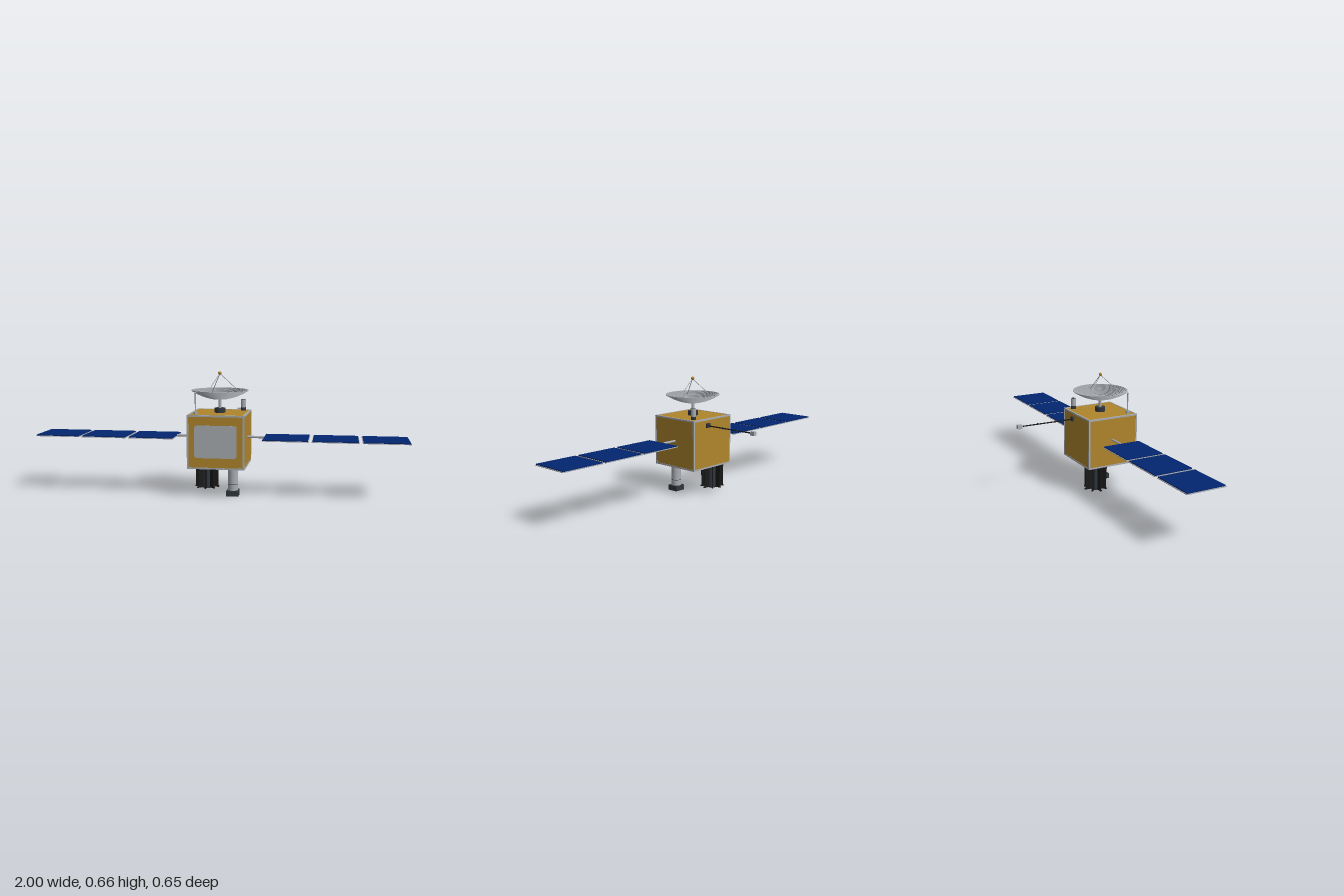
import * as THREE from 'three';

const mat = (name, color, side = THREE.FrontSide) => {
  const m = new THREE.MeshStandardMaterial({ color, side });
  m.name = name;
  return m;
};

export function createModel() {
  const gold = mat('goldFoil', 0xb0862c);
  const silver = mat('silver', 0xa9adb2, THREE.DoubleSide);
  const slate = mat('darkSlate', 0x31373f);
  const black = mat('black', 0x1a1a1b);
  const navy = mat('solarBlue', 0x022670);

  const model = new THREE.Group();
  model.name = 'satellite';
  const CZ = 0.171, BY = 0.2975; // body centre

  const add = (name, geo, material, x, y, z, parent = model) => {
    const m = new THREE.Mesh(geo, material);
    m.name = name;
    m.position.set(x, y, z);
    parent.add(m);
    return m;
  };
  const box = (name, w, h, d, material, x, y, z, parent) =>
    add(name, new THREE.BoxGeometry(w, h, d), material, x, y, z, parent);
  // upright cylinder between two heights
  const post = (name, r, y0, y1, material, x, z, parent, sides = 24) =>
    add(name, new THREE.CylinderGeometry(r, r, y1 - y0, sides), material, x, (y0 + y1) / 2, z, parent);
  const rod = (name, a, b, r, material, parent = model) => {
    const dir = b.clone().sub(a);
    const m = add(name, new THREE.CylinderGeometry(r, r, dir.length(), 10), material, 0, 0, 0, parent);
    m.position.copy(a).add(b).multiplyScalar(0.5);
    m.quaternion.setFromUnitVectors(new THREE.Vector3(0, 1, 0), dir.normalize());
    return m;
  };
  const V = (x, y, z) => new THREE.Vector3(x, y, z);

  // Foil-covered body with bars along its twelve edges
  const W = 0.304, H = 0.285, D = 0.306, T = 0.009;
  box('body', W - 0.003, H - 0.003, D - 0.003, gold, 0, BY, CZ);
  for (const a of [-1, 1]) for (const b of [-1, 1]) {
    const ex = (W - T) / 2, ey = (H - T) / 2, ez = (D - T) / 2;
    box('frameBarX', W, T, T, silver, 0, BY + a * ey, CZ + b * ez);
    box('frameBarY', T, H, T, silver, a * ex, BY, CZ + b * ez);
    box('frameBarZ', T, T, D, silver, a * ex, BY + b * ey, CZ);
  }

  // Rounded radiator plate on the front
  const s = new THREE.Shape(), pw = 0.112, ph = 0.086, r = 0.018;
  s.moveTo(-pw + r, -ph);
  s.lineTo(pw - r, -ph); s.quadraticCurveTo(pw, -ph, pw, -ph + r);
  s.lineTo(pw, ph - r); s.quadraticCurveTo(pw, ph, pw - r, ph);
  s.lineTo(-pw + r, ph); s.quadraticCurveTo(-pw, ph, -pw, ph - r);
  s.lineTo(-pw, -ph + r); s.quadraticCurveTo(-pw, -ph, -pw + r, -ph);
  add('radiatorPlate', new THREE.ExtrudeGeometry(s, { depth: 0.004, bevelEnabled: false }), silver, 0, 0.3, 0.32);

  // Round plate underneath, flush with the frame
  post('adapterPlate', 0.11, 0.155, 0.159, silver, 0, CZ, model, 40);

  // Solar wings, three panels on each side
  for (const side of [-1, 1]) {
    const wing = new THREE.Group();
    wing.name = side > 0 ? 'leftSolarWing' : 'rightSolarWing';
    model.add(wing);
    rod('wingArm', V(side * 0.148, 0.309, CZ - 0.003), V(side * 0.238, 0.309, CZ - 0.003), 0.0065, silver, wing);
    for (let i = 0; i < 3; i++) {
      const x = side * (0.358 + i * 0.2598);
      box('panelFrame', 0.244, 0.004, 0.226, silver, x, 0.305, CZ, wing);
      box('solarCells', 0.236, 0.005, 0.219, navy, x, 0.3095, CZ, wing);
    }
  }

  // Dish antenna, a bowl of fine steps, with tripod and feed
  const dish = new THREE.Group();
  dish.name = 'dishAntenna';
  model.add(dish);
  post('dishMount', 0.029, 0.439, 0.464, slate, 0, CZ, dish);
  post('dishPost', 0.009, 0.46, 0.514, silver, 0, CZ, dish);
  const R = 0.153, N = 12;
  const stepR = (i) => R * Math.sqrt(i / N), stepY = (i) => 0.512 + 0.004 * i;
  const profile = [new THREE.Vector2(0, stepY(0))];
  for (let i = 0; i < N; i++)
    profile.push(new THREE.Vector2(stepR(i + 1), stepY(i)), new THREE.Vector2(stepR(i + 1), stepY(i + 1)));
  for (let i = N - 1; i >= 0; i--) {
    const q = stepR(i + 1) - 0.005, top = i === N - 1 ? stepY(N) : stepY(i + 1) + 0.0015;
    profile.push(new THREE.Vector2(q, top), new THREE.Vector2(q, stepY(i) + 0.0015));
  }
  profile.push(new THREE.Vector2(0, stepY(0) + 0.0015));
  const shell = new THREE.LatheGeometry(profile, 56).toNonIndexed();
  shell.computeVertexNormals();
  add('dishShell', shell, silver, 0, 0, CZ, dish);
  for (let i = 0; i < 3; i++) {
    const a = i * Math.PI * 2 / 3, q = 0.118;
    rod('tripodLeg', V(q * Math.cos(a), 0.541, CZ + q * Math.sin(a)), V(0, 0.648, CZ), 0.0018, silver, dish);
  }
  add('dishFeed', new THREE.SphereGeometry(0.0095, 14, 10), gold, 0, 0.65, CZ, dish);

  // Whip antenna on the front corner of the roof
  post('whipBase', 0.01, 0.439, 0.453, silver, -0.112, 0.284);
  post('whipRod', 0.0035, 0.45, 0.55, silver, -0.112, 0.284, model, 10);
  add('whipTip', new THREE.SphereGeometry(0.006, 12, 8), silver, -0.112, 0.552, 0.284);

  // Star tracker on the rear corner of the roof
  post('trackerBase', 0.0145, 0.439, 0.457, slate, 0.112, 0.0585);
  post('trackerTube', 0.0143, 0.457, 0.5, silver, 0.112, 0.0585);
  post('trackerLens', 0.0115, 0.499, 0.5008, slate, 0.112, 0.0585);

  // Rear instrument boom
  box('boomMount', 0.024, 0.024, 0.01, slate, 0.04, 0.402, 0.0145);
  rod('boom', V(0.04, 0.4, 0.016), V(0.04, 0.4, -0.291), 0.0035, black);
  rod('boomTip', V(0.04, 0.4, -0.29), V(0.04, 0.4, -0.3), 0.0037, silver);
  for (const z of [-0.092, -0.2])
    rod('boomCollar', V(0.04, 0.4, z + 0.002), V(0.04, 0.4, z - 0.002), 0.006, slate);
  box('boomSensor', 0.022, 0.022, 0.025, silver, 0.04, 0.4, -0.31);

  // Camera hanging below
  const camera = new THREE.Group();
  camera.name = 'cameraUnit';
  model.add(camera);
  post('cameraNeck', 0.008, 0.146, 0.157, silver, 0.08, 0.231, camera);
  post('cameraTube', 0.0278, 0.028, 0.143, silver, 0.08, 0.231, camera);
  post('cameraCollar', 0.0278, 0.143, 0.148, slate, 0.08, 0.231, camera);
  post('cameraBand', 0.0281, 0.0625, 0.0645, slate, 0.08, 0.231, camera);
  box('cameraHead', 0.064, 0.0295, 0.064, slate, 0.08, 0.01525, 0.232, camera);
  post('cameraLens', 0.023, 0, 0.003, navy, 0.08, 0.232, camera);

  // Finned power generator hanging below
  const gen = new THREE.Group();
  gen.name = 'powerGenerator';
  gen.position.set(-0.083, 0, 0.0985);
  model.add(gen);
  post('generatorMount', 0.015, 0.142, 0.157, silver, 0, 0, gen);
  post('generatorCore', 0.029, 0.011, 0.145, slate, 0, 0, gen);
  for (let i = 0; i < 8; i++) {
    const fin = new THREE.Group();
    fin.name = 'coolingFin';
    fin.rotation.y = i * Math.PI / 4;
    gen.add(fin);
    box('finBlade', 0.04, 0.128, 0.005, black, 0.043, 0.0795, 0, fin);
    for (const y of [0.018, 0.141]) box('finEnd', 0.044, 0.007, 0.008, black, 0.045, y, 0, fin);
  }
  return model;
}
